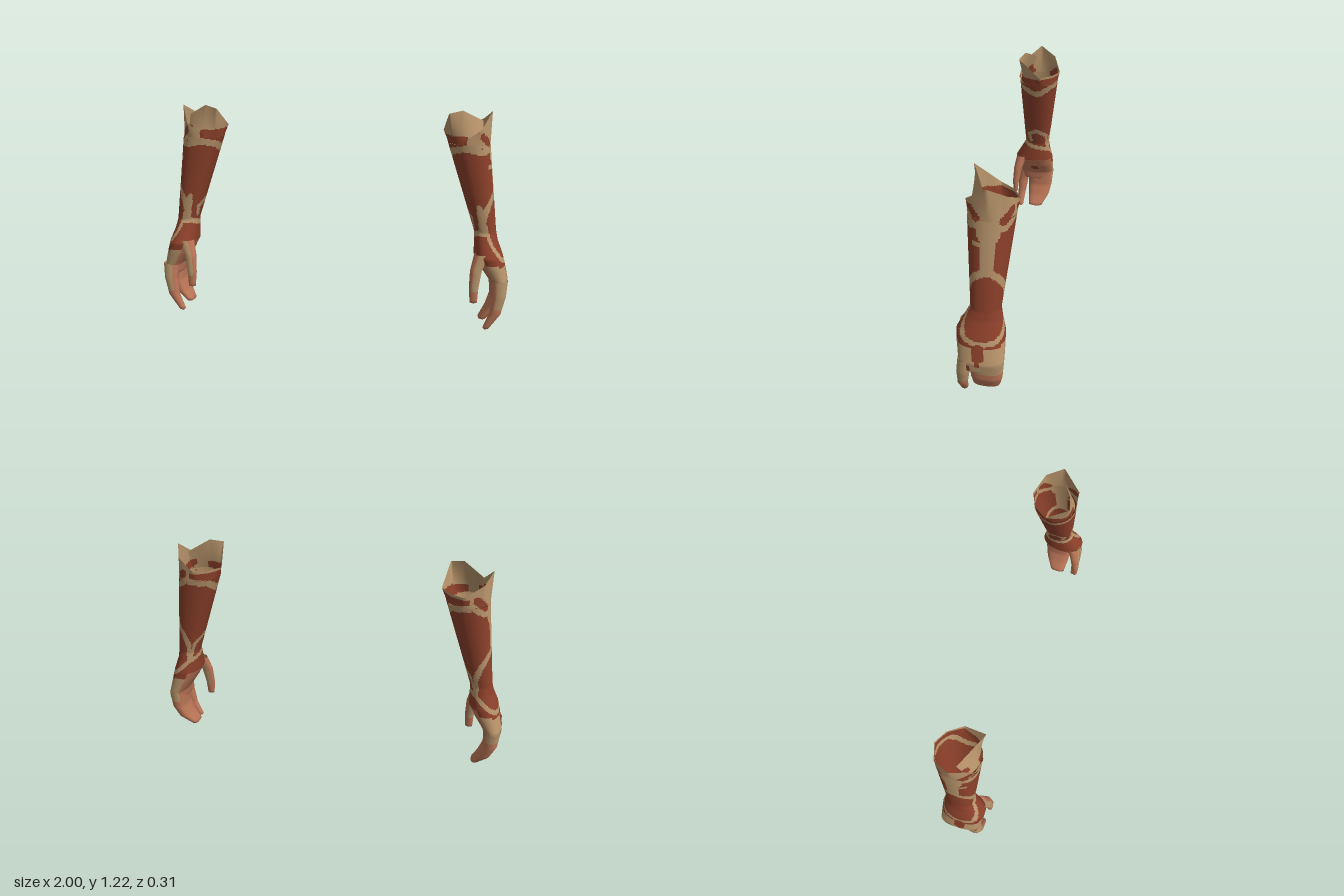
import * as THREE from 'three';

const mat = (name, color) => new THREE.MeshStandardMaterial({ name, color, side: THREE.DoubleSide });

// Paint strokes: paths of [angle in degrees, height], then a half width.
// Angle 0 faces outward, 90 forward, 180 inward, -90 back.
const tanStrokes = [
  [[[-3, 1.06], [-3, 0.97]], 0.045],
  [[[-3, 0.98], [-3, 0.78]], 0.027],
  [[[2, 0.92], [32, 0.915]], 0.013],
  [[[150, 1.0], [100, 1.02], [60, 1.0], [30, 1.01], [-3, 1.0], [-40, 1.0], [-75, 1.04], [-140, 1.02], [-180, 0.97], [-210, 1.0]], 0.018],
  [[[-3, 0.78], [35, 0.74], [70, 0.68], [90, 0.62], [88, 0.55]], 0.019],
  [[[-3, 0.78], [-40, 0.74], [-75, 0.68], [-105, 0.6], [-110, 0.5]], 0.017],
  [[[95, 0.69], [105, 0.55]], 0.018],
  [[[88, 0.57], [65, 0.48], [35, 0.41], [0, 0.388], [-40, 0.4], [-75, 0.44], [-110, 0.5], [-180, 0.525], [-240, 0.55], [-260, 0.56]], 0.014],
  [[[-120, 0.52], [-132, 0.62], [-180, 0.665], [-215, 0.63], [-205, 0.58]], 0.015],
];
const redStrokes = [
  [[[28, 1.045], [52, 1.085]], 0.018],
  [[[-38, 1.035], [-62, 1.08]], 0.02],
  [[[0, 0.37], [4, 0.31]], 0.02],
  [[[4, 0.32], [6, 0.27]], 0.009],
  [[[30, 0.26], [34, 0.23]], 0.009],
  [[[180, 0.345], [184, 0.33]], 0.014],
];

function nearStroke(strokes, a, y) {
  return strokes.some(([path, w]) => path.slice(1).some(([a1, y1], i) => {
    const [a0, y0] = path[i];
    return [-360, 0, 360].some((turn) => {
      const k = 0.0016, px = (a + turn - a0) * k, py = y - y0;
      const dx = (a1 - a0) * k, dy = y1 - y0;
      const t = THREE.MathUtils.clamp((px * dx + py * dy) / (dx * dx + dy * dy), 0, 1);
      return Math.hypot(px - t * dx, py - t * dy) < w;
    });
  }));
}

// Colour rules return 0 red cloth, 1 tan cloth, 2 skin
const wrapAngle = (a) => ((a + 540) % 360 + 360) % 360 - 180;
function sleeveColor(a, y) {
  a = wrapAngle(a);
  const inner = Math.abs(a) > 110;
  if (nearStroke(redStrokes, a, y)) return 0;
  if (inner && y < 0.42) return 2;
  if (y < (Math.abs(a) < 60 ? 0.365 : 0.385)) return y < 0.21 ? 2 : 1;
  if (nearStroke(tanStrokes, a, y)) return 1;
  const redTop = a > 95 || a < -85 ? 1.085 : 1.02;
  return y > redTop ? 1 : 0;
}
const fingerColor = (limit) => (a, y) => (Math.abs(wrapAngle(a)) > 115 || y < limit ? 2 : 1);

// Painted grid: point(u, v) gives [x, y, z, angle], cells are grouped by colour
function paintedGrid(name, nu, nv, closed, point, rule, side, mats) {
  const cols = closed ? nu : nu + 1;
  const pos = [], cells = mats.map(() => []);
  for (let j = 0; j <= nv; j++)
    for (let i = 0; i < cols; i++) {
      const p = point(i / nu, j / nv);
      pos.push(p[0] * side, p[1], p[2]);
    }
  for (let j = 0; j < nv; j++)
    for (let i = 0; i < nu; i++) {
      const mid = point((i + 0.5) / nu, (j + 0.5) / nv);
      const i1 = (i + 1) % cols;
      const a = j * cols + i, b = j * cols + i1, c = a + cols, d = b + cols;
      cells[rule(mid[3], mid[1])].push(...(side > 0 ? [a, b, c, b, d, c] : [a, c, b, b, c, d]));
    }
  const g = new THREE.BufferGeometry();
  g.setAttribute('position', new THREE.Float32BufferAttribute(pos, 3));
  g.setIndex(cells.flat());
  let start = 0;
  cells.forEach((c, m) => {
    if (c.length) g.addGroup(start, c.length, m);
    start += c.length;
  });
  g.computeVertexNormals();
  const mesh = new THREE.Mesh(g, mats);
  mesh.name = name;
  return mesh;
}

// Linear blend along a list of number rows
function sample(rows, t) {
  const f = t * (rows.length - 1), i = Math.min(Math.floor(f), rows.length - 2);
  return rows[i].map((n, k) => THREE.MathUtils.lerp(n, rows[i + 1][k], f - i));
}

// Tube through rings of [x, y, z, halfX, halfZ], even steps in height
function limb(name, rings, nu, step, rule, side, mats, power = 0.9) {
  const levels = [];
  rings.slice(1).forEach((r, i) => {
    const n = Math.max(1, Math.round((rings[i][1] - r[1]) / step));
    for (let k = 0; k < n; k++) levels.push(sample([rings[i], r], k / n));
  });
  levels.push(rings[rings.length - 1]);
  const bend = (c) => Math.sign(c) * Math.abs(c) ** power;
  return paintedGrid(name, nu, levels.length - 1, true, (u, v) => {
    const [x, y, z, rx, rz] = sample(levels, v), a = u * Math.PI * 2;
    return [x + rx * bend(Math.cos(a)), y, z + rz * bend(Math.sin(a)), u * 360];
  }, rule, side, mats);
}

const forearm = [
  [0.75, 1.04, -0.023, 0.115, 0.117],
  [0.86, 0.55, -0.005, 0.061, 0.076],
  [0.867, 0.5, 0.004, 0.065, 0.092],
  [0.884, 0.42, 0.017, 0.08, 0.122],
  [0.908, 0.36, 0.014, 0.072, 0.121],
  [0.945, 0.28, 0.008, 0.054, 0.115],
  [0.947, 0.225, 0.006, 0.046, 0.108],
  [0.947, 0.21, 0.006, 0, 0],
];
const thumb = [
  [0.85, 0.44, 0.095, 0.045, 0.035],
  [0.818, 0.35, 0.12, 0.032, 0.027],
  [0.81, 0.25, 0.133, 0.026, 0.021],
  [0.812, 0.17, 0.136, 0.02, 0.014],
  [0.812, 0.163, 0.136, 0, 0],
];
const indexFinger = [
  [0.952, 0.29, 0.088, 0.044, 0.036],
  [0.952, 0.2, 0.1, 0.038, 0.034],
  [0.935, 0.1, 0.109, 0.031, 0.026],
  [0.888, 0.012, 0.112, 0.018, 0.017],
  [0.884, 0, 0.112, 0, 0],
];
const otherFingers = [
  [0.95, 0.27, -0.022, 0.049, 0.085],
  [0.945, 0.17, -0.018, 0.042, 0.08],
  [0.918, 0.1, -0.012, 0.037, 0.07],
  [0.868, 0.035, 0.004, 0.022, 0.046],
  [0.862, 0.022, 0.008, 0, 0],
];

// Cuff wraps around once and tucks under itself: [angle, base radius scale, rim x, y, z]
const cuff = [
  [105, 1.02, 0.72, 1.06, 0.096],
  [62, 1, 0.81, 1.12, 0.088],
  [0, 1, 0.868, 1.21, -0.02],
  [-47, 1, 0.83, 1.16, -0.11],
  [-98, 1, 0.735, 1.1, -0.152],
  [-138, 1, 0.665, 1.1, -0.115],
  [-172, 1, 0.61, 1.1, -0.04],
  [-222, 1, 0.637, 1.205, 0.085],
  [-253, 0.96, 0.71, 1.22, 0.058],
  [-318, 0.85, 0.82, 1.16, 0.0],
];

function arm(side, mats) {
  const g = new THREE.Group();
  g.name = side > 0 ? 'leftArm' : 'rightArm';
  const [bx, by, bz, rx, rz] = forearm[0];
  g.add(
    limb('forearmAndPalm', forearm, 72, 0.008, sleeveColor, side, mats),
    paintedGrid('wrappedCuff', 90, 20, false, (u, v) => {
      const [a, s, x, y, z] = sample(cuff, u), r = THREE.MathUtils.degToRad(a);
      const base = [bx + rx * s * Math.cos(r), by, bz + rz * s * Math.sin(r)];
      return sample([[...base, a], [x, y, z, a]], v);
    }, sleeveColor, side, mats),
    limb('thumb', thumb, 16, 0.015, fingerColor(0.24), side, mats),
    limb('indexFinger', indexFinger, 16, 0.015, fingerColor(0.13), side, mats),
    limb('otherFingers', otherFingers, 24, 0.015, fingerColor(0.21), side, mats, 0.8),
  );
  return g;
}

export function createModel() {
  const mats = [mat('red brown cloth', 0x8c402a), mat('tan cloth', 0xb8946b), mat('skin', 0xbc7657)];
  const model = new THREE.Group();
  model.name = 'pairOfArms';
  model.add(arm(1, mats), arm(-1, mats));
  return model;
}
